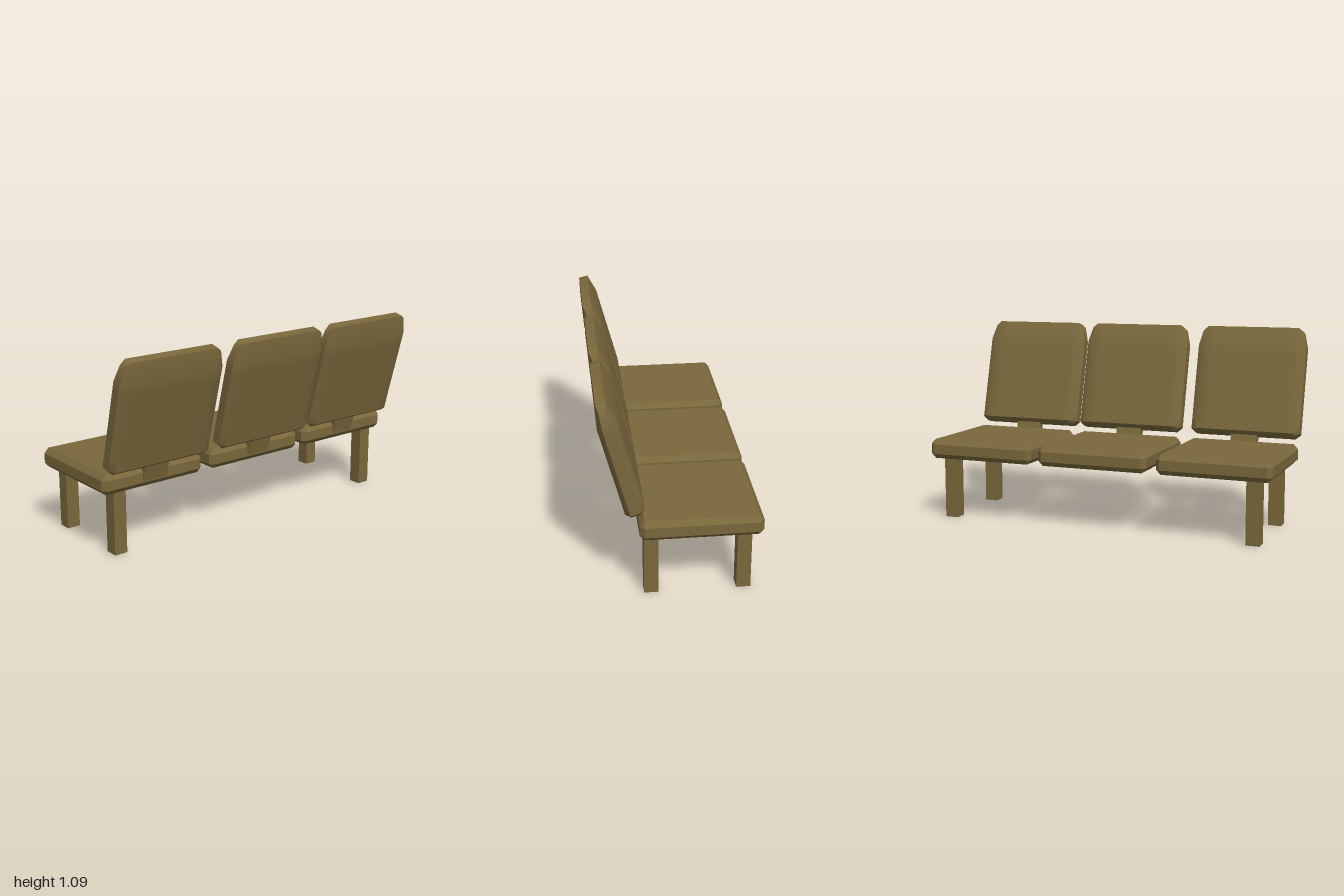
import * as THREE from 'three';
import { toCreasedNormals } from 'three/addons/utils/BufferGeometryUtils.js';

const material = new THREE.MeshStandardMaterial({ color: 0x7a683c });
const TILT = THREE.MathUtils.degToRad(15);

// Bevelled slab: rings of [y, half depth x, half width z, corner cut x, corner cut z]
function loftSlab(rings, inner, crease) {
  const pos = [];
  const idx = [];
  for (const [y, hx, hz, cx, cz] of rings) {
    const half = [[hx, inner], [hx, hz - cz], [hx - cx, hz], [cx - hx, hz], [-hx, hz - cz], [-hx, inner]];
    for (const [x, z] of half) pos.push(x, y, z);
    for (const [x, z] of half) pos.push(-x, y, -z);
  }
  const n = 12;
  for (let r = 0; r < rings.length - 1; r++) {
    for (let i = 0; i < n; i++) {
      const a = r * n + i;
      const b = r * n + (i + 1) % n;
      idx.push(a, a + n, b, b, a + n, b + n);
    }
  }
  const top = (rings.length - 1) * n;
  for (let i = 1; i < n - 1; i++) {
    idx.push(0, i, i + 1, top, top + i + 1, top + i);
  }
  const geo = new THREE.BufferGeometry();
  geo.setAttribute('position', new THREE.Float32BufferAttribute(pos, 3));
  geo.setIndex(idx);
  return toCreasedNormals(geo, THREE.MathUtils.degToRad(crease));
}

function addPart(group, name, geo, x, y, z, tilt = 0) {
  const mesh = new THREE.Mesh(geo, material);
  mesh.name = name;
  mesh.position.set(x, y, z);
  mesh.rotation.z = -tilt;
  group.add(mesh);
}

export function createModel() {
  const bench = new THREE.Group();
  bench.name = 'threeSeatBench';

  const seatGeo = loftSlab([
    [0.345, 0.29, 0.29, 0, 0],
    [0.372, 0.315, 0.316, 0.025, 0.025],
    [0.427, 0.315, 0.316, 0.025, 0.025],
    [0.455, 0.29, 0.29, 0, 0],
  ], 0.2, 20);

  // Backrest narrows towards its top; broad faces blend softly into the bevels
  const backGeo = loftSlab([
    [-0.025, 0.026, 0.285, 0, 0],
    [0, 0.0515, 0.315, 0.025, 0.03],
    [0.06, 0.0515, 0.315, 0.025, 0.035],
    [0.43, 0.0515, 0.315, 0.025, 0.035],
    [0.49, 0.0515, 0.315, 0.025, 0.035],
    [0.578, 0.032, 0.295, 0.014, 0.03],
    [0.602, 0.026, 0.265, 0, 0],
  ], 0.22, 45);

  const postGeo = new THREE.BoxGeometry(0.044, 0.16, 0.15);
  const legGeo = new THREE.BoxGeometry(0.075, 0.35, 0.075);

  // Three seats, each with a tilted post and backrest
  const places = [[0.684, 0.685], [-0.005, -0.015], [-0.683, -0.67]];
  for (const [seatZ, backZ] of places) {
    const unit = new THREE.Group();
    unit.name = 'seatUnit';
    addPart(unit, 'seat', seatGeo, -0.1, 0, seatZ);
    addPart(unit, 'backPost', postGeo, 0.213, 0.458, backZ, TILT);
    addPart(unit, 'backrest', backGeo, 0.235, 0.502, backZ, TILT);
    bench.add(unit);
  }

  // Legs under the two end seats
  for (const x of [-0.327, 0.153]) {
    for (const z of [-0.892, 0.892]) addPart(bench, 'leg', legGeo, x, 0.175, z);
  }
  return bench;
}
